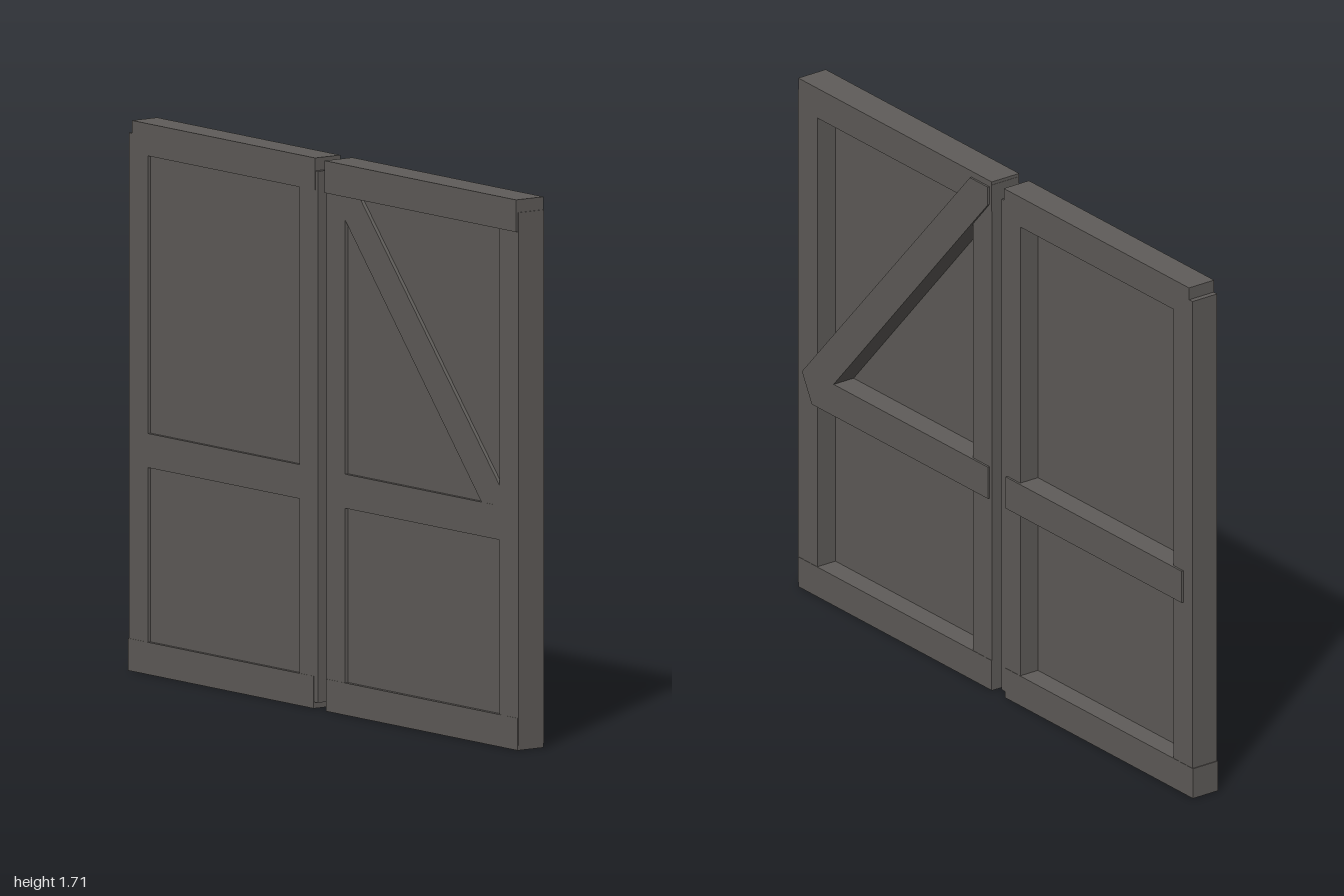
import * as THREE from 'three';

export function createModel() {
  const model = new THREE.Group();
  const paint = new THREE.MeshStandardMaterial({ color: 0x5f5c59 });
  paint.name = 'dark grey paint';

  // Board given by its min and max corners
  function board(parent, name, [x0, x1], [y0, y1], [z0, z1]) {
    const mesh = new THREE.Mesh(new THREE.BoxGeometry(x1 - x0, y1 - y0, z1 - z0), paint);
    mesh.position.set((x0 + x1) / 2, (y0 + y1) / 2, (z0 + z1) / 2);
    mesh.name = name;
    parent.add(mesh);
  }

  // Right door: plain two-panel frame
  const right = new THREE.Group();
  right.name = 'rightDoor';
  const rz = [-0.05, 0.045];
  board(right, 'outerStile', [-0.997, -0.9], [0.02, 1.67], rz);
  board(right, 'innerStile', [-0.125, -0.03], [0.02, 1.67], rz);
  board(right, 'topRail', [-0.98, -0.043], [1.61, 1.71], [-0.051, 0.046]);
  board(right, 'bottomRail', [-1, -0.05], [0, 0.1], [-0.051, 0.046]);
  board(right, 'middleRail', [-0.95, -0.06], [0.642, 0.748], [-0.057, 0.045]);
  board(right, 'panel', [-0.92, -0.1], [0.08, 1.63], [0.018, 0.034]);
  model.add(right);

  // Left door: braced frame
  const left = new THREE.Group();
  left.name = 'leftDoor';
  const lz = [-0.05, 0.048];
  board(left, 'innerStile', [0.017, 0.113], [0, 1.7], lz);
  board(left, 'outerStile', [0.902, 1], [0.015, 1.67], lz);
  board(left, 'topRail', [0.018, 0.997], [1.61, 1.71], [-0.051, 0.055]);
  board(left, 'bottomRail', [0.018, 0.997], [0, 0.1], [-0.051, 0.049]);
  board(left, 'middleRail', [0.03, 0.92], [0.642, 0.748], [-0.057, 0.048]);
  board(left, 'panel', [0.1, 0.92], [0.08, 1.63], [0.02, 0.036]);

  // Diagonal brace with a pointed foot
  const outline = [[0.97, 0.735], [0.12, 1.69], [0.03, 1.69], [0.03, 1.63], [0.81, 0.748], [0.81, 0.642], [0.92, 0.642]];
  const shape = new THREE.Shape(outline.map(([x, y]) => new THREE.Vector2(x, y)));
  const brace = new THREE.Mesh(new THREE.ExtrudeGeometry(shape, { depth: 0.105, bevelEnabled: false }), paint);
  brace.position.z = -0.0575;
  brace.name = 'diagonalBrace';
  left.add(brace);
  model.add(left);

  return model;
}
